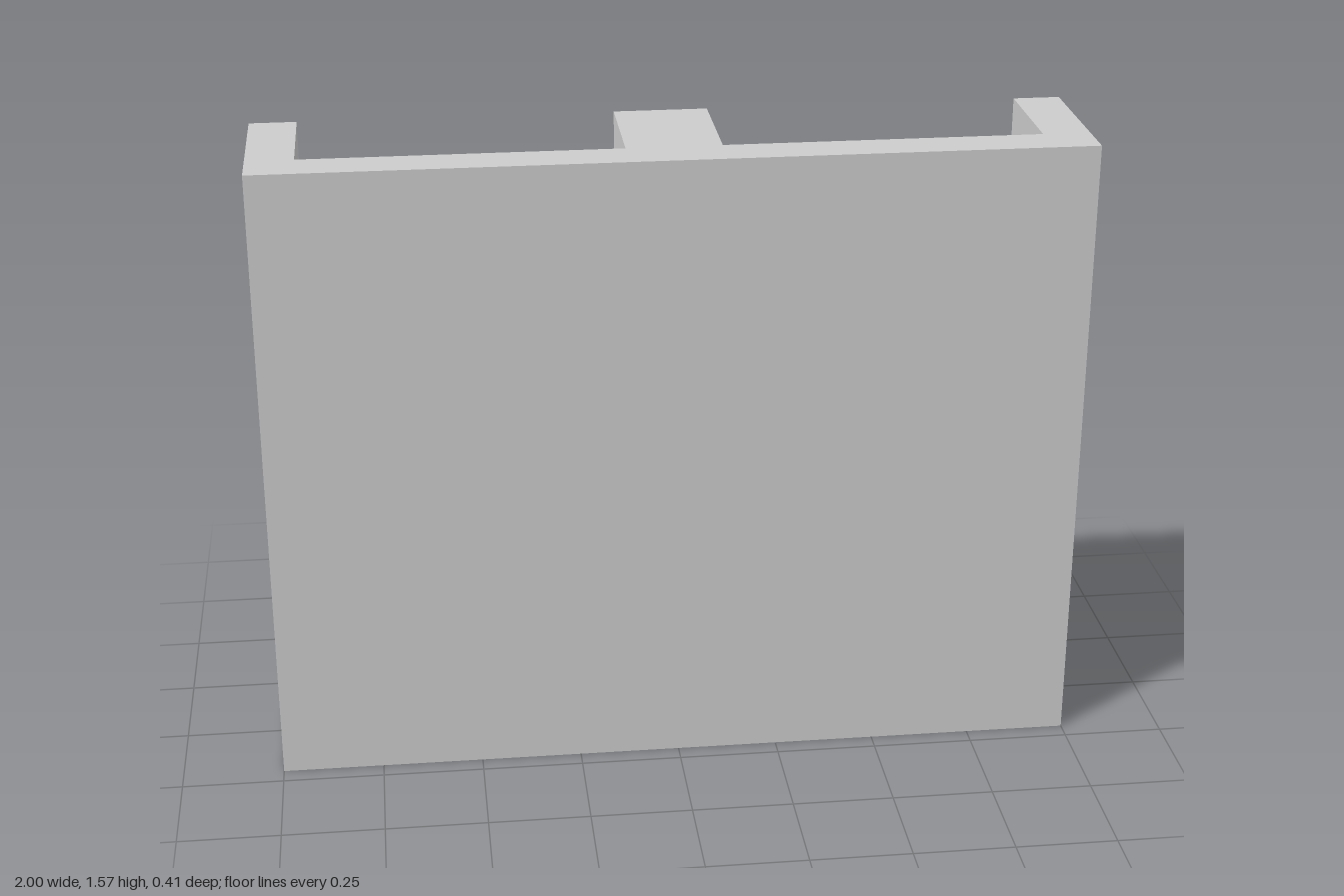
import * as THREE from 'three';

export function createModel() {
  const group = new THREE.Group();
  const material = new THREE.MeshStandardMaterial({ color: 0xcccccc, flatShading: true });

  const height = 1.57, zBack = -0.203, zPanel = 0.097, zFront = 0.203;
  const inner = 0.115, outer = 0.885; // side limits of each bay
  const topShelf = 1.37;
  // Bottom and top of each closed compartment
  const openings = [[0.06, 0.262], [0.323, 0.528], [0.589, 0.783], [0.843, 1.038], [1.1, 1.307]];

  // Rack outline: three posts with an open tray above each bay
  const rackShape = new THREE.Shape([
    [-1, 0], [1, 0], [1, height], [outer, height], [outer, topShelf], [inner, topShelf], [inner, height],
    [-inner, height], [-inner, topShelf], [-outer, topShelf], [-outer, height], [-1, height],
  ].map(([x, y]) => new THREE.Vector2(x, y)));

  // Compartments cut through both bays
  for (const [x0, x1] of [[-outer, -inner], [inner, outer]]) {
    for (const [y0, y1] of openings) {
      rackShape.holes.push(new THREE.Path([
        new THREE.Vector2(x0, y0), new THREE.Vector2(x0, y1),
        new THREE.Vector2(x1, y1), new THREE.Vector2(x1, y0),
      ]));
    }
  }
  const rack = new THREE.Mesh(
    new THREE.ExtrudeGeometry(rackShape, { depth: zPanel - zBack, bevelEnabled: false }), material);
  rack.name = 'shelfRack';
  rack.position.z = zBack;
  group.add(rack);

  // Solid panel closing the front
  const panel = new THREE.Mesh(new THREE.BoxGeometry(2, height, zFront - zPanel), material);
  panel.name = 'frontPanel';
  panel.position.set(0, height / 2, (zFront + zPanel) / 2);
  group.add(panel);

  return group;
}
